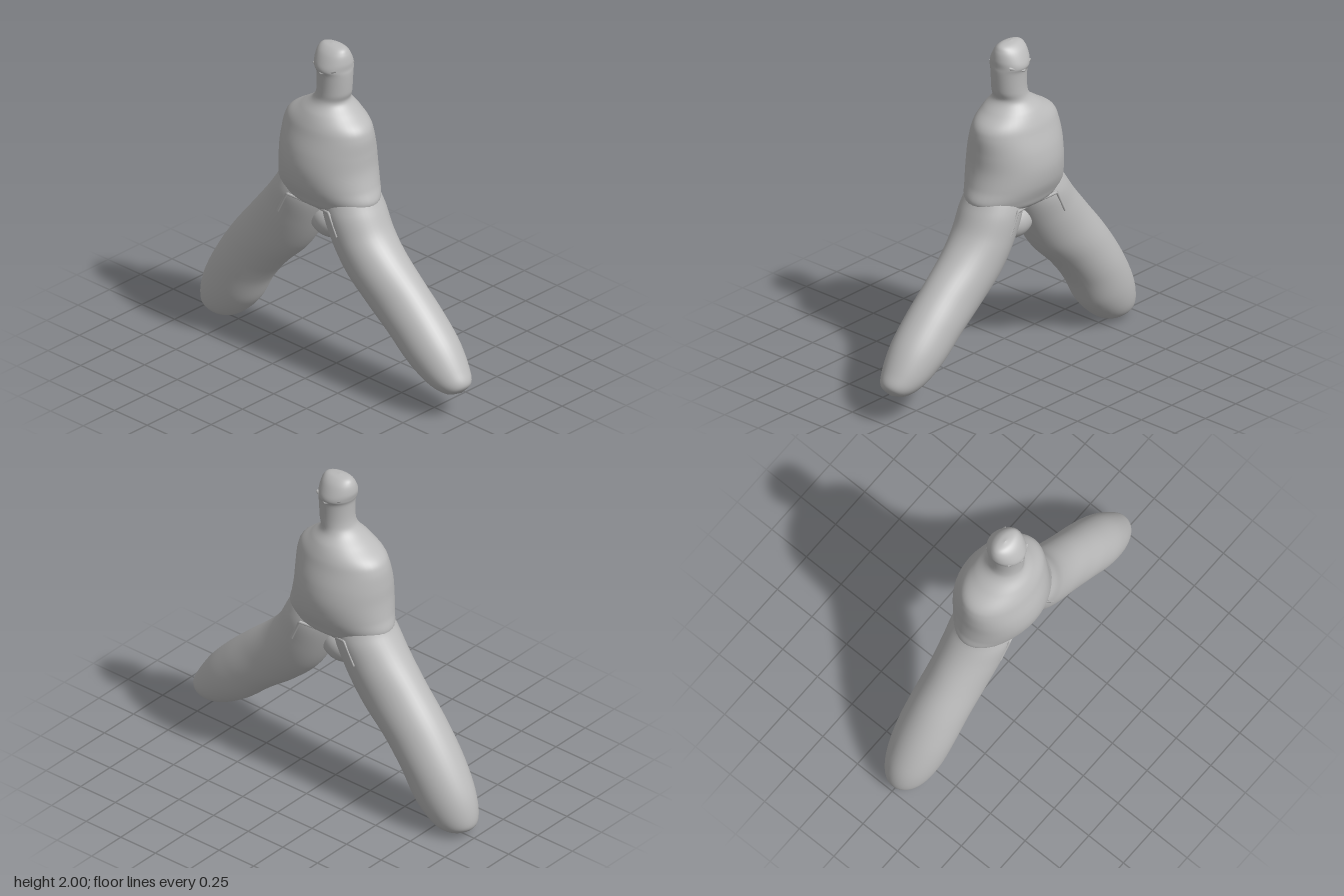
import * as THREE from 'three';

const skin = new THREE.MeshStandardMaterial({ color: 0xbbbbbb });
skin.name = 'plain light grey';

// Smooth loft; each section is [leftX, leftY, rightX, rightY, halfDepth], listed downwards
function loft(name, sections, steps = 8, sides = 40) {
  const spline = (pts) => new THREE.CatmullRomCurve3(pts, false, 'catmullrom', 0.5);
  const left = spline(sections.map((s) => new THREE.Vector3(s[0], s[1], s[4])));
  const right = spline(sections.map((s) => new THREE.Vector3(s[2], s[3], s[4])));
  const rows = (sections.length - 1) * steps;
  const pos = [], index = [];
  for (let i = 0; i <= rows; i++) {
    const a = left.getPoint(i / rows), b = right.getPoint(i / rows);
    const depth = Math.max(0, a.z);
    for (let j = 0; j < sides; j++) {
      const t = (j / sides) * Math.PI * 2, c = Math.cos(t) / 2;
      pos.push((a.x + b.x) / 2 + (b.x - a.x) * c, (a.y + b.y) / 2 + (b.y - a.y) * c, depth * Math.sin(t));
      if (i < rows) {
        const k = (j + 1) % sides, p = i * sides, q = p + sides;
        index.push(p + j, p + k, q + j, p + k, q + k, q + j);
      }
    }
  }
  const geo = new THREE.BufferGeometry();
  geo.setAttribute('position', new THREE.Float32BufferAttribute(pos, 3));
  geo.setIndex(index);
  geo.computeVertexNormals();
  const mesh = new THREE.Mesh(geo, skin);
  mesh.name = name;
  return mesh;
}

// Raised fold following a few points, repeated on front and back
function fold(name, points, radius) {
  const group = new THREE.Group();
  group.name = name;
  for (const side of [1, -1]) {
    const path = new THREE.CurvePath();
    const v = points.map(([x, y, z]) => new THREE.Vector3(x, y, z * side));
    for (let i = 1; i < v.length; i++) path.add(new THREE.LineCurve3(v[i - 1], v[i]));
    group.add(new THREE.Mesh(new THREE.TubeGeometry(path, 32, radius, 6), skin));
  }
  return group;
}

export function createModel() {
  const model = new THREE.Group();
  model.name = 'twoLeggedFigure';

  // Body with shoulders, neck and rounded head: [y, minX, maxX, halfDepth]
  const body = [
    [2.0, -0.03, -0.03, 0], [1.99, -0.095, 0.05, 0.04], [1.96, -0.122, 0.078, 0.075], [1.91, -0.132, 0.09, 0.102],
    [1.87, -0.125, 0.09, 0.113], [1.83, -0.115, 0.092, 0.102], [1.72, -0.115, 0.085, 0.1], [1.66, -0.14, 0.075, 0.11],
    [1.6, -0.22, 0.135, 0.155], [1.54, -0.31, 0.205, 0.185], [1.48, -0.342, 0.228, 0.205], [1.38, -0.355, 0.232, 0.235],
    [1.28, -0.36, 0.238, 0.247], [1.18, -0.372, 0.262, 0.235], [1.1, -0.385, 0.288, 0.205], [1.05, -0.33, 0.24, 0.18],
    [1.02, -0.17, 0.09, 0.12], [1.01, -0.04, -0.04, 0],
  ];
  model.add(loft('body', body.map(([y, a, b, z]) => [a, y, b, y, z])));

  // Longer right leg, its top buried in the body
  model.add(loft('rightLeg', [
    [-0.2, 1.26, -0.2, 1.26, 0], [-0.33, 1.2, -0.06, 1.12, 0.13], [-0.395, 1.09, -0.04, 1.02, 0.176],
    [-0.48, 0.97, -0.12, 0.83, 0.175], [-0.6, 0.82, -0.24, 0.64, 0.168], [-0.75, 0.63, -0.4, 0.48, 0.168],
    [-0.88, 0.43, -0.52, 0.33, 0.168], [-0.97, 0.25, -0.61, 0.17, 0.155], [-1.0, 0.11, -0.71, 0.065, 0.125],
    [-0.975, 0.045, -0.79, 0.016, 0.08], [-0.88, 0.0, -0.88, 0.0, 0],
  ]));

  // Shorter, more splayed left leg
  model.add(loft('leftLeg', [
    [0.1, 1.26, 0.1, 1.26, 0], [-0.02, 1.12, 0.22, 1.2, 0.13], [-0.04, 1.02, 0.3, 1.07, 0.176],
    [0.035, 0.83, 0.37, 0.94, 0.175], [0.14, 0.66, 0.47, 0.83, 0.165], [0.29, 0.52, 0.62, 0.7, 0.155],
    [0.45, 0.4, 0.76, 0.57, 0.155], [0.61, 0.265, 0.88, 0.44, 0.15], [0.76, 0.175, 0.965, 0.31, 0.122],
    [0.88, 0.146, 1.0, 0.23, 0.075], [0.96, 0.168, 0.96, 0.168, 0],
  ]));

  // Small bulb between the legs
  const bulb = new THREE.Mesh(new THREE.SphereGeometry(1, 32, 20), skin);
  bulb.name = 'bulb';
  bulb.scale.set(0.13, 0.1, 0.09);
  bulb.position.set(-0.05, 0.885, 0);
  model.add(bulb);

  // Folds where the body meets the legs, and under the head
  model.add(fold('rightHipFold', [[-0.28, 0.92, 0.174], [-0.21, 1.055, 0.178], [-0.05, 1.025, 0.13]], 0.009));
  model.add(fold('leftHipFold', [[0.17, 0.92, 0.174], [0.11, 1.05, 0.178], [-0.03, 1.025, 0.13]], 0.009));
  model.add(fold('headFold', [[-0.1, 1.882, 0.075], [-0.015, 1.85, 0.107], [0.07, 1.882, 0.075]], 0.008));
  return model;
}
